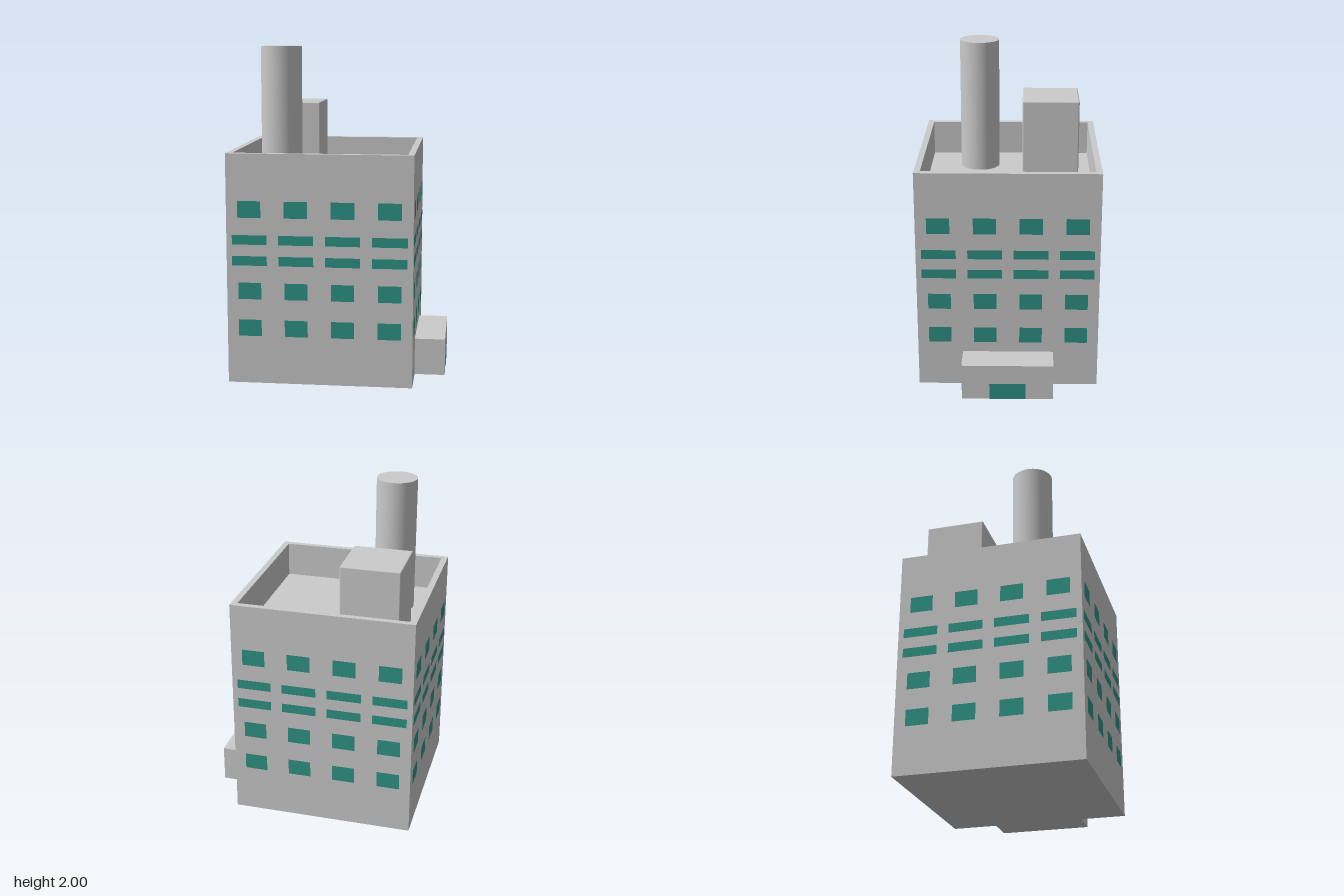
import * as THREE from 'three';
import { RoundedBoxGeometry } from 'three/addons/geometries/RoundedBoxGeometry.js';

const CX = -0.0925;   // tower centre in x
const HALF = 0.5525;  // half the tower width
const INNER = 0.515;  // half the width inside the parapet
const HEIGHT = 1.385;
const ROOF = 1.17;

export function createModel() {
  const group = new THREE.Group();
  const grey = new THREE.MeshStandardMaterial({ color: 0xcccccc });
  const glass = new THREE.MeshStandardMaterial({ color: 0x2f9586 });

  const add = (parent, name, geometry, material, x, y, z) => {
    const mesh = new THREE.Mesh(geometry, material);
    mesh.name = name;
    mesh.position.set(x, y, z);
    parent.add(mesh);
    return mesh;
  };

  // Square tower with a sunken roof, as one closed four-sided shell
  const profile = [[0, 0], [HALF, 0], [HALF, HEIGHT], [INNER, HEIGHT], [INNER, ROOF], [0, ROOF]]
    .map(([r, y]) => new THREE.Vector2(r * Math.SQRT2, y));
  const shell = new THREE.LatheGeometry(profile, 4, Math.PI / 4).toNonIndexed();
  shell.computeVertexNormals();
  add(group, 'tower', shell, grey, CX, 0, 0);

  // Rooftop hut and chimney
  const hutHeight = 1.645 - ROOF;
  add(group, 'rooftopHut', new RoundedBoxGeometry(0.358, hutHeight, 0.358, 2, 0.008), grey,
    -0.351, ROOF + hutHeight / 2, -0.26);
  add(group, 'chimney', new THREE.CylinderGeometry(0.124, 0.124, 2 - ROOF, 48), grey,
    -0.368, (2 + ROOF) / 2, 0.194);

  // Entrance annex with its door
  add(group, 'annex', new THREE.BoxGeometry(0.185, 0.225, 0.555), grey, 0.5525, 0.1125, 0);
  const door = add(group, 'door', new THREE.PlaneGeometry(0.22, 0.103), glass, 0.647, 0.0515, 0);
  door.rotation.y = Math.PI / 2;

  // Five rows of four windows on every side: [centre height, width, height]
  const rows = [
    [0.34, 0.138, 0.1], [0.565, 0.138, 0.1],
    [0.747, 0.208, 0.057], [0.873, 0.208, 0.057],
    [1.055, 0.138, 0.1],
  ];
  for (let side = 0; side < 4; side++) {
    const facade = new THREE.Group();
    facade.name = ['front', 'left', 'back', 'right'][side] + 'Windows';
    facade.position.x = CX;
    facade.rotation.y = side * Math.PI / 2;
    for (const [y, w, h] of rows) {
      const pane = new THREE.PlaneGeometry(w, h);
      for (let i = 0; i < 4; i++) {
        add(facade, 'window', pane, glass, (i - 1.5) * 0.277, y, HALF + 0.002);
      }
    }
    group.add(facade);
  }
  return group;
}
